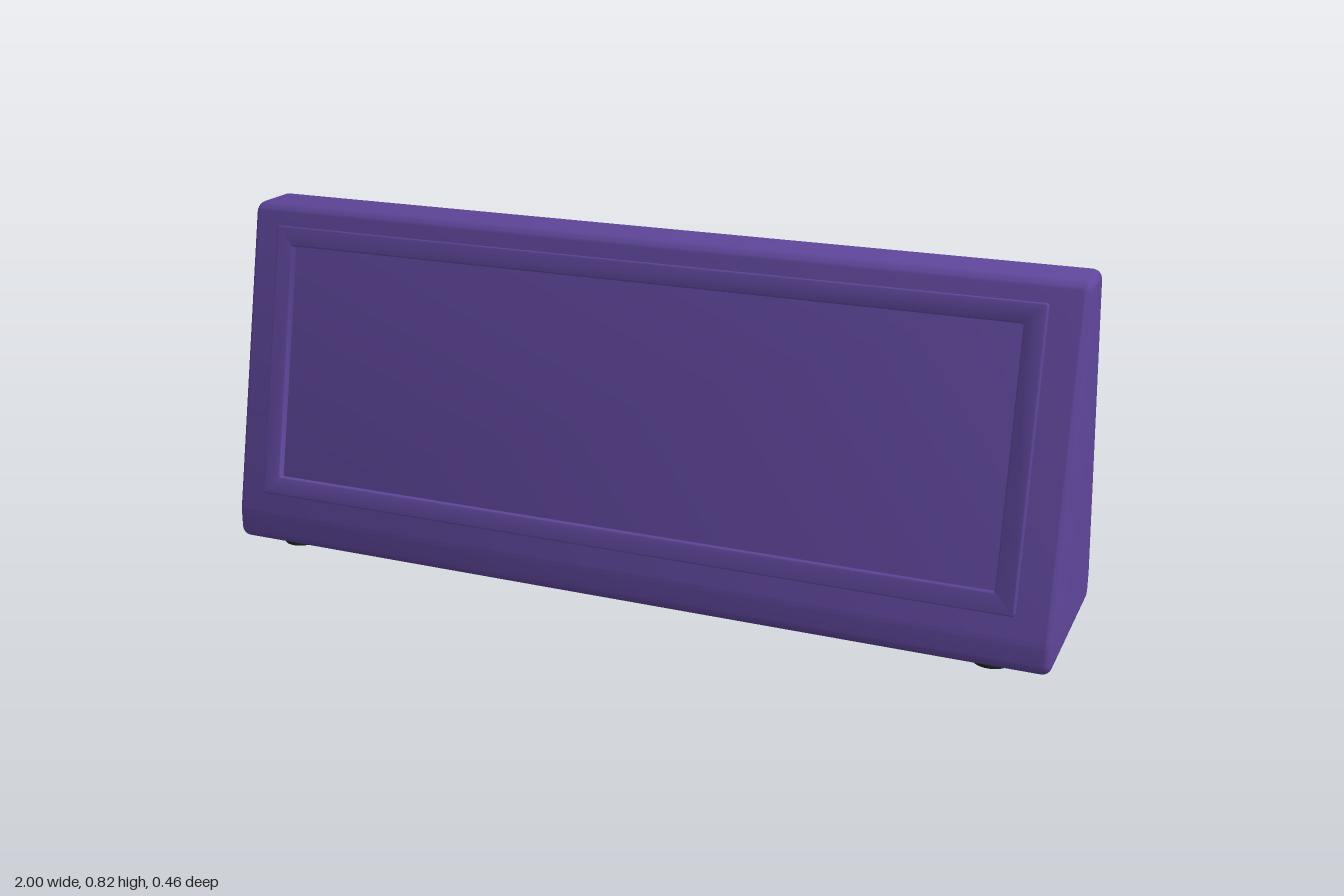
import * as THREE from 'three';
import { toCreasedNormals } from 'three/addons/utils/BufferGeometryUtils.js';

// Closed path through points with each corner softened over distance r
function roundedPath(path, points, r) {
  const v = points.map(([x, y]) => new THREE.Vector2(x, y));
  v.forEach((p, i) => {
    const prev = v[(i + v.length - 1) % v.length];
    const next = v[(i + 1) % v.length];
    const a = p.clone().add(prev.clone().sub(p).setLength(r));
    const b = p.clone().add(next.clone().sub(p).setLength(r));
    if (i === 0) path.moveTo(a.x, a.y);
    else path.lineTo(a.x, a.y);
    path.quadraticCurveTo(p.x, p.y, b.x, b.y);
  });
  path.closePath();
  return path;
}

const rect = (w, h) => [[-w, -h], [w, -h], [w, h], [-w, h]];

export function createModel() {
  const model = new THREE.Group();
  const purple = new THREE.MeshStandardMaterial({ color: 0x5e469a });
  purple.name = 'purple shell';
  const dark = new THREE.MeshStandardMaterial({ color: 0x1c241c });
  dark.name = 'dark rubber';

  const add = (name, geometry, material) => {
    const mesh = new THREE.Mesh(geometry, material);
    mesh.name = name;
    model.add(mesh);
    return mesh;
  };

  // Wedge body: side profile swept along x; the bevel rounds every edge
  const bevel = 0.02;
  const profile = roundedPath(new THREE.Shape(), [
    [-0.206, 0.032], [0.206, 0.032], [0.206, 0.083],
    [0.053, 0.805], [-0.053, 0.805], [-0.206, 0.083],
  ], 0.009);
  const bodyGeometry = new THREE.ExtrudeGeometry(profile, {
    depth: 2 - 2 * bevel, bevelEnabled: true, bevelSize: bevel,
    bevelThickness: bevel, bevelSegments: 6, curveSegments: 6,
  });
  bodyGeometry.translate(0, 0, -(1 - bevel));
  bodyGeometry.rotateY(-Math.PI / 2);
  bodyGeometry.translate(0, 0, -0.002);
  add('body', toCreasedNormals(bodyGeometry, 0.5), purple);

  // Raised frame lying on the sloping front
  const edge = 0.003;
  const frameShape = roundedPath(new THREE.Shape(), rect(0.92, 0.3255), 0.006);
  frameShape.holes.push(roundedPath(new THREE.Path(), rect(0.875, 0.28), 0.004));
  const frameGeometry = new THREE.ExtrudeGeometry(frameShape, {
    depth: 0.018, bevelEnabled: true, bevelSize: edge, bevelOffset: -edge,
    bevelThickness: edge, bevelSegments: 3, curveSegments: 4,
  });
  frameGeometry.translate(0, 0, -0.003);
  const frame = add('frontFrame', toCreasedNormals(frameGeometry, 0.6), purple);
  frame.position.set(0, 0.4575, 0.145);
  frame.rotation.x = -Math.atan(0.212);

  // Four round feet
  for (const x of [-0.865, 0.865]) {
    for (const z of [-0.157, 0.153]) {
      const foot = add('foot', new THREE.CylinderGeometry(0.042, 0.042, 0.016, 32), dark);
      foot.position.set(x, 0.008, z);
    }
  }
  return model;
}
